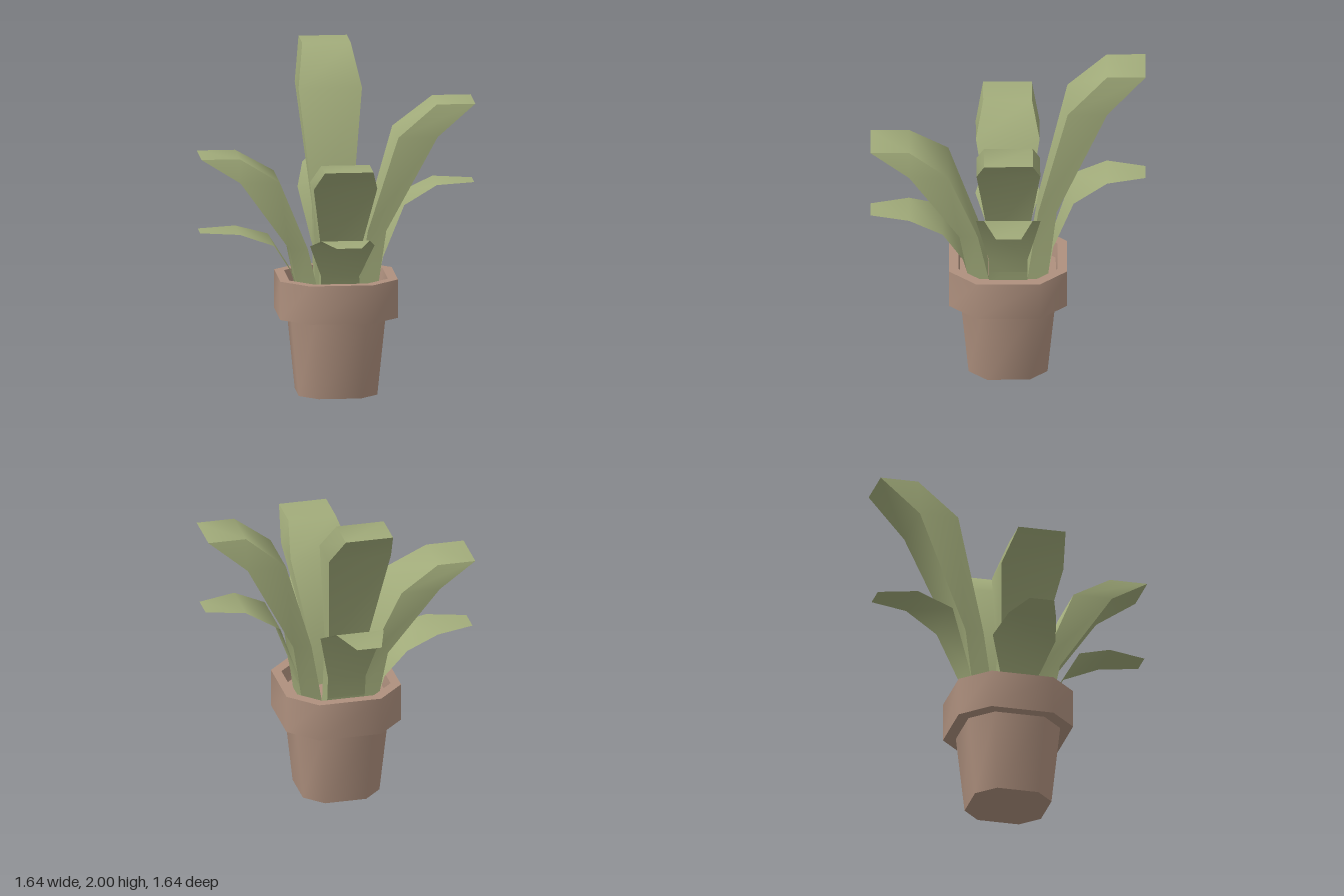
import * as THREE from 'three';
import { toCreasedNormals } from 'three/addons/utils/BufferGeometryUtils.js';

const clay = new THREE.MeshStandardMaterial({ color: 0xae907e });
clay.name = 'clay';
const leafGreen = new THREE.MeshStandardMaterial({ color: 0xa1ab7a, side: THREE.DoubleSide });
leafGreen.name = 'leafGreen';

const SOIL = 0.617; // height the leaves grow from

// Closed solid through rings of equal point count, each counterclockwise from above
function loft(rings) {
  const n = rings[0].length;
  const index = [];
  for (let r = 0; r < rings.length - 1; r++) {
    for (let i = 0; i < n; i++) {
      const a = r * n + i, b = r * n + (i + 1) % n;
      index.push(a, b, b + n, a, b + n, a + n);
    }
  }
  const last = (rings.length - 1) * n;
  for (let i = 1; i < n - 1; i++) {
    index.push(0, i + 1, i, last, last + i, last + i + 1);
  }
  const geometry = new THREE.BufferGeometry();
  geometry.setAttribute('position', new THREE.Float32BufferAttribute(rings.flat(2), 3));
  geometry.setIndex(index);
  return toCreasedNormals(geometry, 0.9);
}

// Chamfered square outline, half width w
function octagon(w, y) {
  const c = w * 0.54;
  return [[w, c], [w, -c], [c, -w], [-c, -w], [-w, -c], [-w, c], [-c, w], [c, w]]
    .map(([x, z]) => [x, y, z]);
}

// Thick upright leaf growing towards +x: inner x, outer x, half width, share of height
function tallLeaf(top) {
  const sections = [
    [0.115, 0.235, 0.115, 0],
    [0.18, 0.29, 0.115, 0.328],
    [0.355, 0.59, 0.19, 0.834],
    [0.59, 0.82, 0.145, 1],
  ];
  return loft(sections.map(([a, b, w, t]) => {
    const y = SOIL + t * (top - SOIL);
    return [[a, y, -w], [a, y, w], [b, y, w], [b, y, -w]];
  }));
}

// Thin arching leaf below it: x, half width, share of height
function lowLeaf(top) {
  const stations = [
    [0.23, 0.115, 0],
    [0.27, 0.115, 0.328],
    [0.39, 0.193, 0.834],
    [0.59, 0.145, 1],
    [0.82, 0.075, 1],
  ];
  const geometry = new THREE.PlaneGeometry(1, 1, 1, stations.length - 1);
  const position = geometry.attributes.position;
  for (let i = 0; i < position.count; i++) {
    const [x, w, t] = stations[i >> 1];
    position.setXYZ(i, x, SOIL + t * (top - SOIL), i % 2 ? -w : w);
  }
  geometry.computeVertexNormals();
  return geometry;
}

export function createModel() {
  const model = new THREE.Group();
  model.name = 'pottedPlant';

  const add = (parent, name, geometry, material) => {
    const mesh = new THREE.Mesh(geometry, material);
    mesh.name = name;
    parent.add(mesh);
  };

  // Pot with tapered body, overhanging rim and sunken soil level
  add(model, 'pot', loft([
    octagon(0.235, 0),
    octagon(0.282, 0.477),
    octagon(0.352, 0.477),
    octagon(0.352, 0.71),
    octagon(0.295, 0.71),
    octagon(0.285, SOIL),
  ]), clay);

  // Four pairs of leaves: direction, tall top, low top
  const pairs = [
    ['left', 0, 1.76, 1.27],
    ['back', Math.PI / 2, 2.0, 1.28],
    ['right', Math.PI, 1.45, 0.99],
    ['front', -Math.PI / 2, 1.49, 1.03],
  ];
  for (const [side, angle, high, low] of pairs) {
    const pair = new THREE.Group();
    pair.name = side + 'Leaves';
    pair.rotation.y = angle;
    add(pair, side + 'TallLeaf', tallLeaf(high), leafGreen);
    add(pair, side + 'LowLeaf', lowLeaf(low), leafGreen);
    model.add(pair);
  }
  return model;
}
